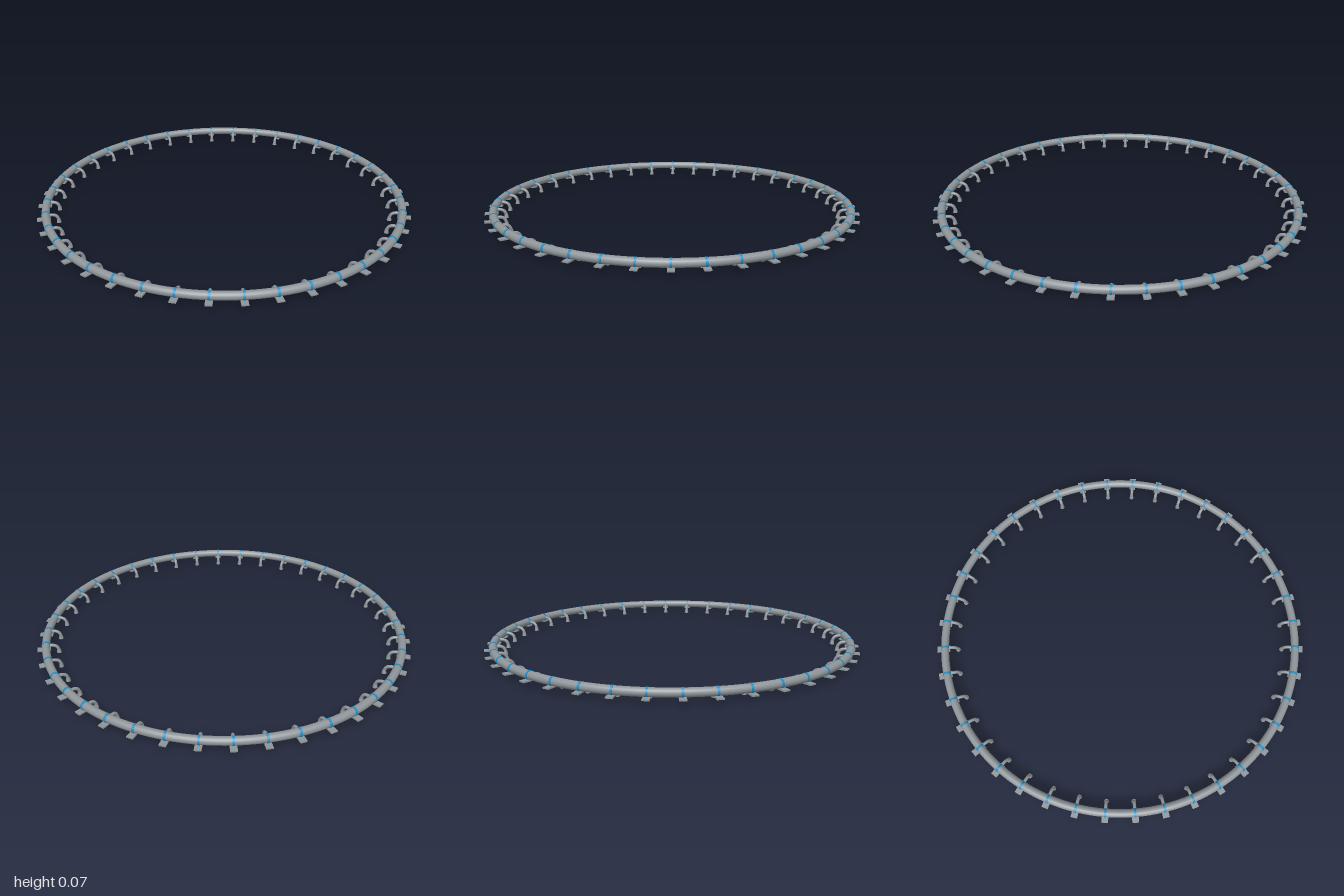
import * as THREE from 'three';

const COUNT = 40, RING_R = 0.953, TUBE_R = 0.021, RING_Y = 0.047;

export function createModel() {
  const model = new THREE.Group();
  const material = (name, color) => {
    const m = new THREE.MeshStandardMaterial({ color });
    m.name = name;
    return m;
  };
  const steel = material('steel grey', 0x8e9599);
  const blue = material('strap blue', 0x1f8fc8);

  const add = (parent, name, geometry, mat) => {
    const mesh = new THREE.Mesh(geometry, mat);
    mesh.name = name;
    parent.add(mesh);
    return mesh;
  };

  // Main pipe ring
  const ring = add(model, 'pipeRing',
    new THREE.TorusGeometry(RING_R, TUBE_R, 20, 160).rotateX(Math.PI / 2), steel);
  ring.position.y = RING_Y;

  // Shared parts of one station, built along +x
  const path = new THREE.CubicBezierCurve3(
    new THREE.Vector3(0.94, RING_Y, 0), new THREE.Vector3(0.912, RING_Y, 0),
    new THREE.Vector3(0.895, 0.043, 0), new THREE.Vector3(0.891, 0.018, 0));
  const armGeo = new THREE.TubeGeometry(path, 10, 0.0085, 10);
  const tipGeo = new THREE.CylinderGeometry(0.0085, 0.0125, 0.02, 12);
  const plateGeo = new THREE.BoxGeometry(0.07, 0.007, 0.034);
  const strapGeo = new THREE.CylinderGeometry(TUBE_R + 0.002, TUBE_R + 0.002, 0.011, 20)
    .rotateX(Math.PI / 2);

  // Evenly spaced nozzles, each with a strap and a mounting plate
  for (let i = 0; i < COUNT; i++) {
    const station = new THREE.Group();
    station.name = 'nozzleStation';
    station.rotation.y = (i / COUNT) * Math.PI * 2;
    add(station, 'nozzleArm', armGeo, steel);
    add(station, 'nozzleTip', tipGeo, steel).position.set(0.89, 0.01, 0);
    add(station, 'mountingPlate', plateGeo, steel).position.set(0.965, 0.026, 0);
    add(station, 'strap', strapGeo, blue).position.set(RING_R, RING_Y, 0);
    model.add(station);
  }
  return model;
}
